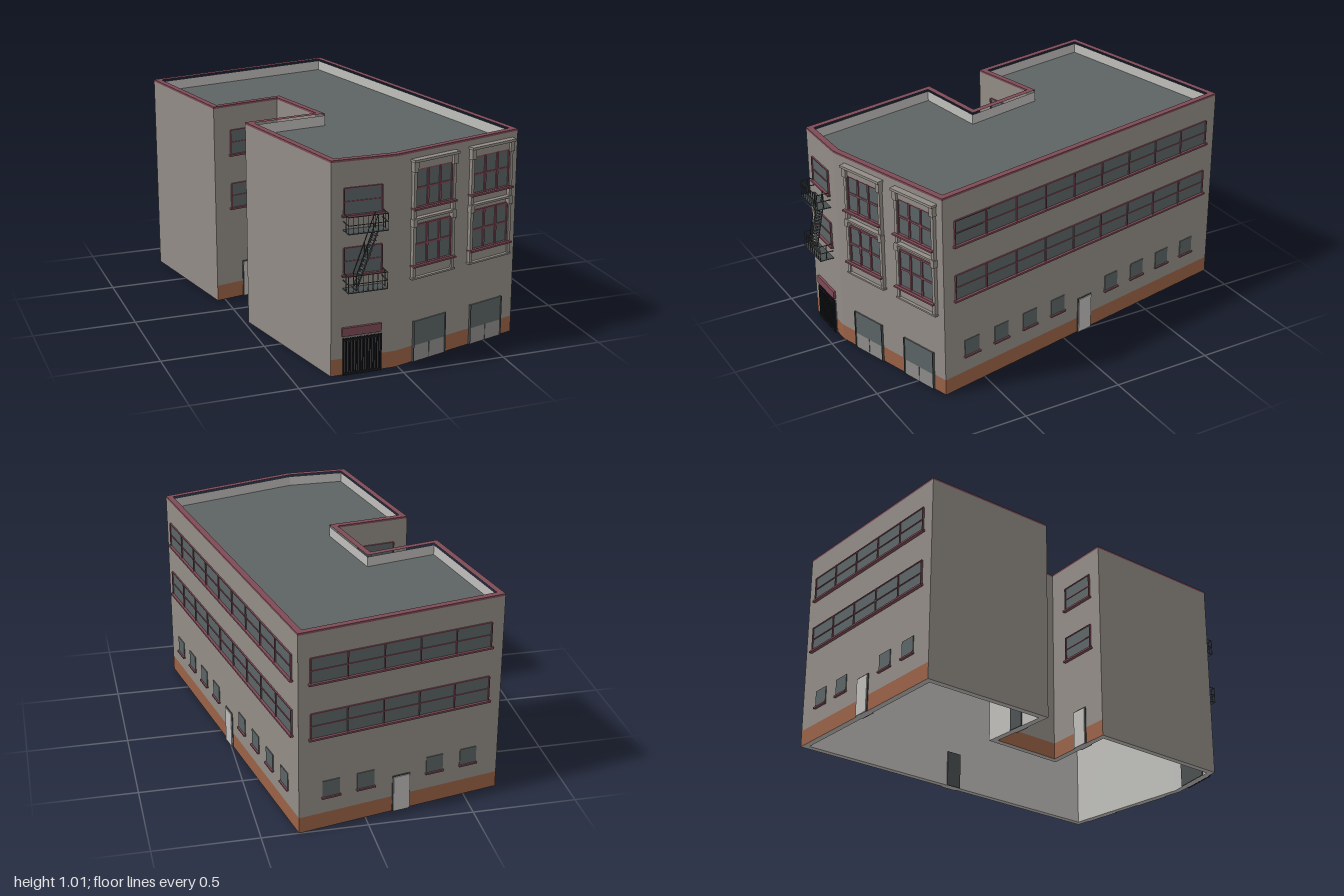
import * as THREE from 'three';

const mat = (name, color, side = THREE.FrontSide) => {
  const m = new THREE.MeshStandardMaterial({ color, side });
  m.name = name;
  return m;
};

export function createModel() {
  const M = {
    wall: mat('grey render', 0x928c86),
    brick: mat('brick base', 0x9a6146),
    glass: mat('dark glass', 0x5b6465),
    roof: mat('roof felt', 0x5d6364),
    trim: mat('maroon trim', 0x7d4a56),
    light: mat('pale plaster', 0xbfbebb),
    panel: mat('shop panel', 0x8f8d8a),
    iron: mat('black iron', 0x1b1c20),
    steel: mat('dark steel', 0x4a4f50),
  };
  const model = new THREE.Group();
  model.name = 'building';

  // Footprint corners (x, z), clockwise seen from above
  const P = [[-0.67, -0.8], [0.325, -1], [0.67, 0.73], [-0.015, 0.93], [-0.325, 0.93],
    [-0.48, 0.19], [-0.11, 0.14], [-0.19, -0.21], [-0.54, -0.135]];
  const N = P.length;
  const normals = P.map((p, i) => {
    const q = P[(i + 1) % N], dx = p[0] - q[0], dz = p[1] - q[1], l = Math.hypot(dx, dz);
    return [-dz / l, dx / l];
  });
  const inset = t => P.map((p, i) => {
    const a = normals[(i + N - 1) % N], b = normals[i];
    const k = t / (1 + a[0] * b[0] + a[1] * b[1]);
    return [p[0] - k * (a[0] + b[0]), p[1] - k * (a[1] + b[1])];
  });
  const inner = inset(0.03);
  const toShape = pts => new THREE.Shape(pts.map(([x, z]) => new THREE.Vector2(x, -z)));

  const add = (parent, name, geo, material) => {
    const mesh = new THREE.Mesh(geo, material);
    mesh.name = name;
    parent.add(mesh);
    return mesh;
  };
  // Box from its limits: u along the wall, y up, z out of the wall
  const box = (parent, name, material, u0, u1, y0, y1, z0, z1) => {
    const m = add(parent, name, new THREE.BoxGeometry(u1 - u0, y1 - y0, z1 - z0), material);
    m.position.set((u0 + u1) / 2, (y0 + y1) / 2, (z0 + z1) / 2);
    return m;
  };
  const plane = (parent, name, material, len, y0, y1, z = 0) => {
    const m = add(parent, name, new THREE.PlaneGeometry(len, y1 - y0), material);
    m.position.set(len / 2, (y0 + y1) / 2, z);
    return m;
  };
  // Group whose x axis runs from l to r, with z pointing outwards
  const frame = (name, l, r) => {
    const g = new THREE.Group();
    g.name = name;
    g.position.set(l[0], 0, l[1]);
    g.rotation.y = Math.atan2(l[1] - r[1], r[0] - l[0]);
    g.userData.len = Math.hypot(r[0] - l[0], r[1] - l[1]);
    model.add(g);
    return g;
  };

  // Outer and inner wall faces; the party walls have no brick base
  const names = ['backWall', 'rightWall', 'shopWall', 'gateWall', 'frontPartyWall',
    'courtFrontWall', 'courtSideWall', 'courtBackWall', 'backPartyWall'];
  const W = {};
  names.forEach((name, i) => {
    const j = (i + 1) % N;
    const g = W[name] = frame(name, P[j], P[i]);
    const base = name.includes('Party') ? 0 : 0.08;
    plane(g, 'wallFace', M.wall, g.userData.len, base, 1);
    if (base) plane(g, 'brickBase', M.brick, g.userData.len, 0, base);
    const back = frame(name + 'Inside', inner[i], inner[j]);
    plane(back, 'innerFace', M.light, back.userData.len, 0, 1);
  });

  // Coping, bottom rim, roof and ceiling
  const ring = toShape(P);
  ring.holes.push(toShape(inner));
  const flat = (name, geo, material, y, down) => {
    geo.rotateX(-Math.PI / 2);
    if (down) geo.index.array.reverse();
    add(model, name, geo, material).position.y = y;
  };
  flat('coping', new THREE.ExtrudeGeometry(ring, { depth: 0.01, bevelEnabled: false }), M.trim, 1);
  flat('wallRim', new THREE.ShapeGeometry(ring), M.light, 0, true);
  flat('roof', new THREE.ShapeGeometry(toShape(inner)), M.roof, 0.95);
  flat('ceiling', new THREE.ShapeGeometry(toShape(inner)), M.light, 0.945, true);

  // Glazed window with frame, mullions, rails and sill
  const win = (g, u0, u1, y0, y1, cols, rows, z = 0, t = 0.005) => {
    const w = new THREE.Group();
    w.name = 'window';
    g.add(w);
    box(w, 'glass', M.glass, u0, u1, y0, y1, z, z + 0.003);
    for (let c = 0; c <= cols; c++) {
      const u = u0 + (u1 - u0) * c / cols;
      box(w, 'mullion', M.trim, u - t / 2, u + t / 2, y0, y1, z, z + 0.009);
    }
    for (let r = 1; r <= rows; r++) {
      const y = y0 + (y1 - y0) * r / rows;
      box(w, 'rail', M.trim, u0, u1, y - t / 2, y + t / 2, z, z + 0.007);
    }
    box(w, 'sill', M.trim, u0 - 0.01, u1 + 0.01, y0 - 0.007, y0 + 0.002, z, z + 0.016);
  };
  const smallWin = (g, u, w = 0.086) => {
    box(g, 'smallWindow', M.glass, u, u + w, 0.165, 0.247, 0, 0.004);
    box(g, 'smallSill', M.trim, u - 0.004, u + w + 0.004, 0.157, 0.165, 0, 0.012);
  };
  const door = (g, u0, u1) => {
    box(g, 'doorFrame', M.steel, u0 - 0.005, u1 + 0.005, 0, 0.188, 0, 0.004);
    box(g, 'door', M.light, u0, u1, 0, 0.183, 0, 0.008);
    box(g, 'doorBack', M.steel, u0, u1, 0, 0.183, -0.036, -0.03);
  };

  // Right side: two ribbon windows, eight small windows and a door
  const storeys = [[0.48, 0.605], [0.757, 0.88]];
  for (const [y0, y1] of storeys) {
    win(W.rightWall, 0.066, 1.697, y0, y1, 9, 2);
    win(W.backWall, 0.058, 0.95, y0, y1, 5, 2);
    win(W.gateWall, 0.06, 0.24, y0, y1, 1, 2);
    win(W.courtBackWall, 0.09, 0.28, y0, y1, 1, 2);
    win(W.courtFrontWall, 0.11, 0.3, y0, y1, 1, 2);
  }
  for (const k of [0, 1, 2, 3, 5, 6, 7, 8]) smallWin(W.rightWall, 0.115 + k * 0.18);
  door(W.rightWall, 0.837, 0.917);

  // Back and courtyard openings
  for (const u of [0.115, 0.288, 0.64, 0.815]) smallWin(W.backWall, u);
  door(W.backWall, 0.472, 0.552);
  door(W.courtBackWall, 0.15, 0.23);
  door(W.courtFrontWall, 0.165, 0.245);

  // Shop front: two moulded window bays over two shop doors
  for (const [u0, u1] of [[0.1, 0.312], [0.438, 0.657]]) {
    const g = W.shopWall;
    for (const [y0, y1] of [[0.478, 0.662], [0.748, 0.922]]) {
      win(g, u0, u1, y0, y1, 3, 2, 0.003, 0.01);
      box(g, 'baySill', M.trim, u0 - 0.02, u1 + 0.015, y0 - 0.008, y0, 0, 0.033);
    }
    for (const u of [u0 - 0.016, u1]) {
      box(g, 'pilaster', M.wall, u, u + 0.016, 0.41, 0.965, 0, 0.018);
      box(g, 'bracket', M.wall, u - 0.004, u + 0.02, 0.915, 0.965, 0, 0.024);
      box(g, 'bracket', M.wall, u - 0.004, u + 0.02, 0.66, 0.695, 0, 0.024);
    }
    box(g, 'cornice', M.wall, u0 - 0.024, u1 + 0.024, 0.962, 0.974, 0, 0.032);
    box(g, 'head', M.wall, u0, u1, 0.925, 0.962, 0, 0.012);
    box(g, 'band', M.wall, u0 - 0.016, u1 + 0.016, 0.69, 0.7, 0, 0.024);
    box(g, 'apron', M.wall, u0, u1, 0.42, 0.468, 0, 0.01);
    box(g, 'apronFoot', M.wall, u0 - 0.02, u1 + 0.02, 0.41, 0.418, 0, 0.022);
  }
  for (const [u0, u1] of [[0.104, 0.29], [0.447, 0.638]]) {
    const g = W.shopWall, mid = (u0 + u1) / 2;
    box(g, 'shopGlass', M.glass, u0, u1, 0.08, 0.198, 0, 0.006);
    box(g, 'shopPanel', M.panel, u0, u1, 0, 0.08, 0, 0.006);
    box(g, 'shopSplit', M.steel, mid - 0.001, mid + 0.001, 0, 0.08, 0, 0.008);
    for (const u of [u0 - 0.002, u1]) box(g, 'shopPost', M.steel, u, u + 0.003, 0, 0.2, 0, 0.012);
  }

  // Barred gate with canopy
  const gw = W.gateWall;
  box(gw, 'gateOpening', M.light, 0.057, 0.24, 0, 0.18, 0, 0.003);
  box(gw, 'gateBack', M.steel, 0.057, 0.24, 0, 0.18, -0.036, -0.03);
  for (let i = 0; i <= 16; i++) {
    const u = 0.056 + i * 0.0112;
    box(gw, 'gateBar', M.iron, u, u + 0.006, 0, 0.18, 0.003, 0.012);
  }
  for (const y of [0.004, 0.168]) box(gw, 'gateRail', M.iron, 0.056, 0.241, y, y + 0.008, 0.003, 0.013);
  box(gw, 'canopy', M.trim, 0.05, 0.24, 0.19, 0.23, 0, 0.012);

  // Fire escape: two railed platforms joined by a stair
  const esc = new THREE.Group();
  esc.name = 'fireEscape';
  gw.add(esc);
  const a = 0.056, b = 0.244, d = 0.07, t = 0.003;
  for (const y of [0.415, 0.688]) {
    box(esc, 'platform', M.steel, a, b, y, y + 0.004, 0, d);
    for (const h of [0.04, 0.078]) {
      box(esc, 'frontRail', M.steel, a, b, y + h, y + h + t, d - t, d);
      for (const u of [a, b - t]) box(esc, 'sideRail', M.steel, u, u + t, y + h, y + h + t, 0, d);
    }
    for (let i = 0; i <= 8; i++) {
      const u = a + (b - a - t) * i / 8;
      box(esc, 'baluster', M.steel, u, u + 0.002, y, y + 0.078, d - t, d);
    }
    for (const u of [a, b - t]) box(esc, 'baluster', M.steel, u, u + t, y, y + 0.078, d / 2, d / 2 + t);
  }
  const slope = (name, x0, y0, x1, y1, z, h) => {
    const m = box(esc, name, M.steel, 0, Math.hypot(x1 - x0, y1 - y0), 0, h, z, z + t);
    m.position.set((x0 + x1) / 2, (y0 + y1) / 2, z);
    m.rotation.z = Math.atan2(y1 - y0, x1 - x0);
  };
  for (const z of [0.02, 0.056]) {
    slope('stringer', 0.098, 0.42, 0.2, 0.69, z, 0.006);
    slope('handrail', 0.098, 0.49, 0.2, 0.765, z, t);
    for (const k of [0, 0.5, 1]) {
      const u = 0.098 + k * 0.102, y = 0.42 + k * 0.27;
      box(esc, 'stairPost', M.steel, u, u + 0.002, y, y + 0.072, z, z + t);
    }
  }
  for (let i = 0; i < 13; i++) {
    const u = 0.098 + i * 0.0085, y = 0.428 + i * 0.0215;
    box(esc, 'step', M.steel, u - 0.008, u + 0.008, y, y + t, 0.02, 0.058);
  }
  return model;
}
